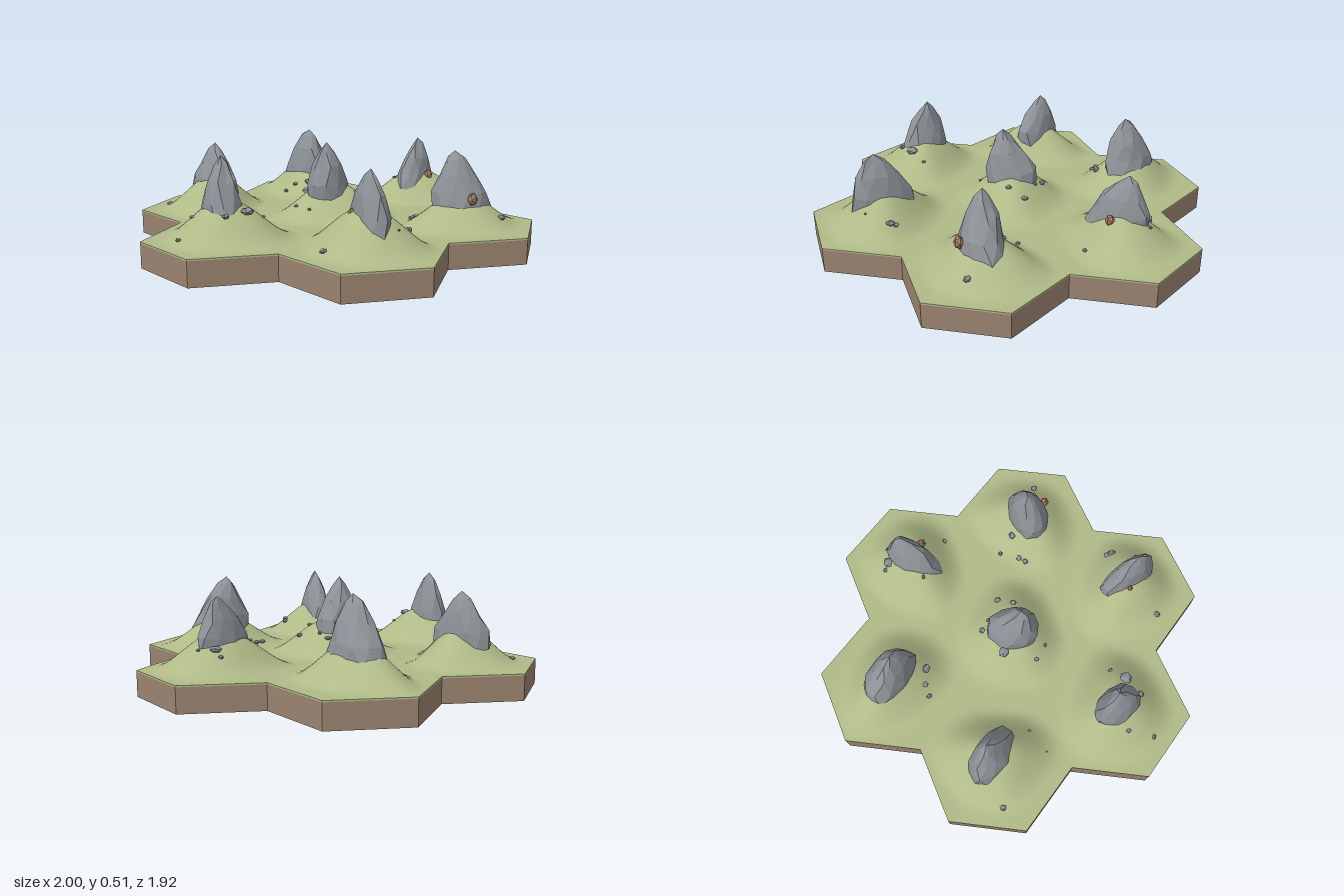
import * as THREE from 'three';

const TOP = 0.125, APOTHEM = 1 / 3, RADIUS = APOTHEM / Math.cos(Math.PI / 6);

const grass = new THREE.MeshStandardMaterial({ name: 'grass', color: 0xb0ba88 });
const dirt = new THREE.MeshStandardMaterial({ name: 'dirt', color: 0x9a8370, flatShading: true });
const stone = new THREE.MeshStandardMaterial({ name: 'stone', color: 0x8d9298, flatShading: true });
const ore = new THREE.MeshStandardMaterial({ name: 'ore', color: 0xa67c5e, flatShading: true });

// one entry per hex: centre, mound (height, radii, turn), rock (centre, half sizes, turn) and its peak
const TILES = [
  { c: [-0.333, -0.577], m: [0.175, 0.35, 0.28, -0.6], r: [-0.325, -0.585, 0.155, 0.095, 1.5], p: [-0.305, 0.47, -0.6] },
  { c: [0.333, -0.577], m: [0.175, 0.37, 0.27, 1.65], r: [0.335, -0.58, 0.165, 0.112, 1.65], p: [0.32, 0.497, -0.54] },
  { c: [-0.667, 0], m: [0.178, 0.35, 0.3, 1.2], r: [-0.675, -0.01, 0.135, 0.095, 1.9], p: [-0.66, 0.5, -0.035] },
  { c: [0, 0], m: [0.172, 0.36, 0.3, 0.8], r: [-0.01, -0.015, 0.14, 0.11, -0.5], p: [-0.05, 0.51, 0.015] },
  { c: [0.667, 0], m: [0.17, 0.36, 0.28, 0.4], r: [0.645, 0, 0.15, 0.085, -0.25], p: [0.69, 0.465, -0.02] },
  { c: [-0.333, 0.577], m: [0.183, 0.35, 0.29, 1.4], r: [-0.325, 0.58, 0.165, 0.08, 1.95], p: [-0.345, 0.485, 0.615] },
  { c: [0.333, 0.577], m: [0.155, 0.37, 0.28, 0.1], r: [0.325, 0.585, 0.15, 0.11, 0.5], p: [0.305, 0.49, 0.55] },
];

// loose stones: x, z, size
const PEBBLES = [
  [-0.51, -0.75, 0.015], [-0.52, -0.4, 0.006], [-0.39, -0.37, 0.008], [0.13, -0.53, 0.016], [0.175, -0.5, 0.015],
  [0.22, -0.435, 0.024], [-0.91, -0.015, 0.015], [-0.79, -0.085, 0.012], [-0.63, 0.12, 0.028], [-0.54, 0.12, 0.012],
  [-0.735, 0.1, 0.018], [-0.2, -0.05, 0.012], [-0.19, 0.04, 0.012], [0.115, -0.1, 0.018], [0.12, -0.04, 0.014],
  [0.07, 0.11, 0.016], [0.155, 0.085, 0.018], [-0.05, -0.13, 0.028],
].concat([
  [0.75, -0.1, 0.024], [0.745, -0.135, 0.015], [0.54, -0.055, 0.012], [0.62, 0.21, 0.013], [0.805, -0.04, 0.012],
  [-0.56, 0.55, 0.018], [-0.17, 0.68, 0.022], [-0.155, 0.66, 0.014], [-0.29, 0.73, 0.009], [0.19, 0.38, 0.018],
  [0.23, 0.375, 0.016], [0.33, 0.34, 0.016], [0.41, 0.76, 0.02], [0.325, 0.44, 0.02],
]);

let seed = 7;
const rand = () => (seed = (seed * 16807) % 2147483647) / 2147483647;
const jitter = (a) => 1 + (rand() * 2 - 1) * a;

// 1 on the hex border, 0 in its middle
function hexDistance(x, z) {
  return Math.max(...[0, 1, 2].map((k) =>
    Math.abs(x * Math.cos(k * Math.PI / 3) + z * Math.sin(k * Math.PI / 3)))) / APOTHEM;
}

// rounded, slightly lobed mound that fades out at the hex border
function moundHeight({ c, m: [h, rx, rz, turn] }, x, z) {
  const dx = x - c[0], dz = z - c[1], s = hexDistance(dx, dz);
  if (s >= 1) return 0;
  const u = (dx * Math.cos(turn) + dz * Math.sin(turn)) / rx;
  const v = (dz * Math.cos(turn) - dx * Math.sin(turn)) / rz;
  const r = Math.min(1, Math.hypot(u, v) * (1 + 0.07 * Math.sin(3 * Math.atan2(v, u) + turn * 5)));
  return h * (0.5 + 0.5 * Math.cos(Math.PI * r)) * (1 - s ** 6);
}
const ground = (x, z) => TOP + Math.max(...TILES.map((t) => moundHeight(t, x, z)));

function buildGeometry(points, index) {
  const g = new THREE.BufferGeometry();
  g.setAttribute('position', new THREE.Float32BufferAttribute(points, 3));
  g.setIndex(index);
  g.computeVertexNormals();
  return g;
}

// grass top of one hex as rings running from the middle to the border
function hillGeometry(tile) {
  const rings = 22, seg = 60, pts = [], idx = [];
  for (let i = 0; i <= rings; i++) {
    for (let j = 0; j < seg; j++) {
      const a = j / seg * Math.PI * 2, s = i / rings / hexDistance(Math.cos(a), Math.sin(a));
      const x = tile.c[0] + Math.cos(a) * s, z = tile.c[1] + Math.sin(a) * s;
      pts.push(x, TOP + moundHeight(tile, x, z), z);
      if (i === rings) continue;
      const n = (j + 1) % seg, p = i * seg;
      idx.push(p + j, p + seg + n, p + seg + j);
      if (i > 0) idx.push(p + j, p + n, p + seg + n);
    }
  }
  return buildGeometry(pts, idx);
}

// faceted crag: jittered oval sections that lean towards the peak
function cragGeometry({ r: [cx, cz, a, b, turn], p }) {
  const sides = 10, levels = [[0, 1], [0.3, 0.9], [0.6, 0.64], [0.86, 0.3]], pts = [], idx = [];
  const bottom = 0.2;
  levels.forEach(([t, scale], i) => {
    for (let j = 0; j < sides; j++) {
      const ang = (j + i * 0.5) / sides * Math.PI * 2, k = scale * jitter(0.09);
      const u = Math.cos(ang) * a * k, v = Math.sin(ang) * b * k;
      pts.push(
        cx + (p[0] - cx) * t + u * Math.cos(turn) - v * Math.sin(turn),
        bottom + (p[1] - bottom) * t + (rand() - 0.5) * 0.025,
        cz + (p[2] - cz) * t + u * Math.sin(turn) + v * Math.cos(turn));
      const n = (j + 1) % sides, q = i * sides;
      if (i < levels.length - 1) idx.push(q + j, q + sides + j, q + n, q + n, q + sides + j, q + sides + n);
      else idx.push(q + j, levels.length * sides, q + n);
    }
  });
  pts.push(...p);
  return buildGeometry(pts, idx);
}

// slab following the outer border of the seven hexes
function slabGeometry(y0, y1) {
  const outline = [];
  for (let k = 0; k < 6; k++) {
    const d = k * Math.PI / 3;
    for (const off of [-30, 30, 90]) {
      const a = d + off * Math.PI / 180;
      outline.push(new THREE.Vector2(
        2 * APOTHEM * Math.cos(d) + RADIUS * Math.cos(a), 2 * APOTHEM * Math.sin(d) + RADIUS * Math.sin(a)));
    }
  }
  const g = new THREE.ExtrudeGeometry(new THREE.Shape(outline), { depth: y1 - y0, bevelEnabled: false });
  return g.rotateX(-Math.PI / 2).translate(0, y0, 0);
}

export function createModel() {
  const model = new THREE.Group();
  const add = (name, geometry, material) => {
    const mesh = new THREE.Mesh(geometry, material);
    mesh.name = name;
    model.add(mesh);
    return mesh;
  };

  add('dirtBase', slabGeometry(0, 0.117), dirt);
  add('grassRim', slabGeometry(0.117, 0.1245), grass);

  for (const tile of TILES) {
    add('hill', hillGeometry(tile), grass);
    add('crag', cragGeometry(tile), stone);
  }

  for (const [x, z, s] of PEBBLES) {
    const pebble = add('pebble', new THREE.IcosahedronGeometry(s, 0), stone);
    pebble.scale.set(jitter(0.25), 0.65, jitter(0.25));
    pebble.rotation.y = rand() * 6;
    pebble.position.set(x, ground(x, z) + s * 0.3, z);
  }

  // ore lumps set into the crags
  for (const [x, y, z, s] of [[0.285, 0.27, 0.68, 0.028], [0.665, 0.268, 0.085, 0.026], [-0.375, 0.285, 0.53, 0.018]]) {
    const lump = add('oreLump', new THREE.IcosahedronGeometry(s, 0), ore);
    lump.scale.set(0.9, 1.2, 0.9);
    lump.position.set(x, y, z);
  }
  return model;
}
